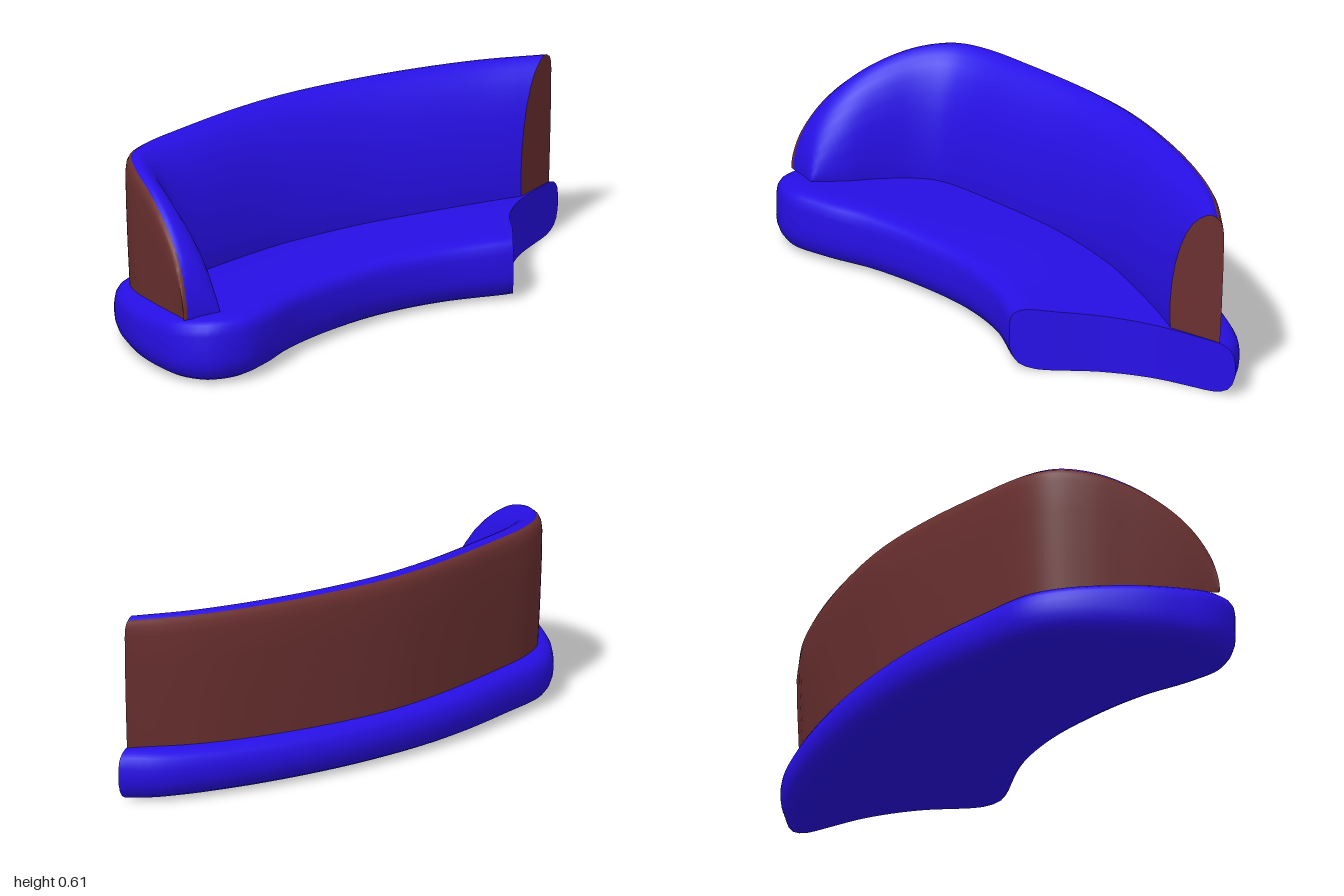
import * as THREE from 'three';
import { toCreasedNormals } from 'three/addons/utils/BufferGeometryUtils.js';

const blue = new THREE.MeshStandardMaterial({ color: 0x270fe6 });
blue.name = 'blueUpholstery';
const brown = new THREE.MeshStandardMaterial({ color: 0x6b3030 });
brown.name = 'brownPanel';

const V = (x, y, z) => new THREE.Vector3(x, y, z);
// Smooth curve on the floor plan through [x, z] pairs
const planCurve = (pts) => new THREE.CatmullRomCurve3(pts.map(([x, z]) => V(x, 0, z)), false, 'centripetal');
// Gently tilted plane of the seat top
const seatTop = (x, z) => 0.1864 + 0.0761 * x + 0.0146 * z;

// Triangles between neighbouring rows of points
function loft(rows) {
  const tris = [];
  for (let i = 0; i < rows.length - 1; i++) {
    for (let j = 0; j < rows[i].length - 1; j++) {
      const a = rows[i][j], b = rows[i + 1][j], c = rows[i + 1][j + 1], d = rows[i][j + 1];
      tris.push(a, b, d, b, c, d);
    }
  }
  return tris;
}

function makeMesh(name, tris, material, crease = 0.75) {
  const geometry = new THREE.BufferGeometry().setFromPoints(tris);
  const mesh = new THREE.Mesh(toCreasedNormals(geometry, crease), material);
  mesh.name = name;
  return mesh;
}

// Flat cap over a closed ring, facing up or down
function cap(ring, up) {
  const flat = ring.map((p) => new THREE.Vector2(p.x, p.z));
  return THREE.ShapeUtils.triangulateShape(flat, []).flatMap(([a, b, c]) => {
    const [p, q, r] = [ring[a], ring[b], ring[c]];
    const ny = q.clone().sub(p).cross(r.clone().sub(p)).y;
    return (ny > 0) === up ? [p, q, r] : [p, r, q];
  });
}

function makeSeat() {
  // Outside edge: rear tip, along the back, round the arm and along the front
  const side = planCurve([
    [0.01, -1], [-0.1, -0.89], [-0.23, -0.64], [-0.34, -0.31], [-0.395, -0.02], [-0.41, 0.2],
    [-0.395, 0.45], [-0.365, 0.67], [-0.28, 0.79], [-0.1, 0.915], [0.05, 0.975], [0.16, 0.995],
    [0.27, 0.955], [0.328, 0.84], [0.31, 0.69], [0.265, 0.53], [0.24, 0.32], [0.245, 0.08],
    [0.3, -0.14], [0.405, -0.35],
  ]);
  // Concave cut end
  const cut = planCurve([[0.405, -0.35], [0.31, -0.45], [0.2, -0.56], [0.11, -0.7], [0.055, -0.85], [0.01, -1]]);
  const N = 120, C = 16, cutLength = cut.getLength(), sideLength = side.getLength();

  // Outline shrunk inwards, while its cut end stays on the cut
  function ringAt(inset, height) {
    const ring = [];
    const s0 = (inset * 1.08) / cutLength;
    for (let i = 0; i <= C; i++) ring.push(cut.getPointAt(s0 + (1 - 2 * s0) * (i / C)));
    const tipDir = cut.getTangentAt(1).negate(), cornerDir = cut.getTangentAt(0);
    for (let i = 1; i < N; i++) {
      const t = i / N, p = side.getPointAt(t), tan = side.getTangentAt(t);
      const dir = V(tan.z, 0, -tan.x);
      const near = Math.min(t, 1 - t) * sideLength;
      dir.lerp(t < 0.5 ? tipDir : cornerDir, 1 - THREE.MathUtils.smoothstep(near, 0, 0.2));
      ring.push(p.addScaledVector(dir, inset));
    }
    ring.forEach((p) => { p.y = height(p); });
    return ring;
  }

  // Rounded edge: inset with drop below the top, then inset with height above the floor
  const upper = [[0.075, 0], [0.05, 0.002], [0.03, 0.008], [0.014, 0.019], [0.005, 0.034], [0.001, 0.055]];
  const lower = [[0, 0.09], [0.003, 0.065], [0.012, 0.04], [0.027, 0.021], [0.05, 0.009], [0.08, 0.002], [0.11, 0]];
  const rings = [
    ...upper.map(([d, drop]) => ringAt(d, (p) => seatTop(p.x, p.z) - drop)),
    ...lower.map(([d, y]) => ringAt(d, () => y)),
  ];
  const wall = loft(rings.map((r) => [...r, r[0]]));
  return makeMesh('seat', [...wall, ...cap(rings[0], true), ...cap(rings.at(-1), false)], blue);
}

function makeBackrest() {
  const group = new THREE.Group();
  group.name = 'backrest';
  // Matching outer and inner base lines, from the cut end to the tip of the arm
  const outer = planCurve([
    [0.025, -0.94], [-0.1, -0.755], [-0.205, -0.53], [-0.285, -0.29], [-0.335, -0.07], [-0.352, 0.15],
    [-0.345, 0.4], [-0.325, 0.61], [-0.285, 0.71], [-0.2, 0.785], [-0.08, 0.85], [0.06, 0.915], [0.19, 0.968],
  ]);
  const inner = planCurve([
    [0.075, -0.75], [0.015, -0.61], [-0.06, -0.41], [-0.12, -0.23], [-0.16, -0.03], [-0.178, 0.15],
    [-0.17, 0.4], [-0.155, 0.57], [-0.135, 0.64], [-0.085, 0.695], [0.01, 0.745], [0.12, 0.785], [0.222, 0.84],
  ]);
  // Section points: across from outer to inner, and up as a share of the height
  const panelSection = [[0, 0], [-0.04, 0.3], [-0.075, 0.65], [-0.085, 0.88], [-0.065, 0.945], [-0.02, 0.98], [0.03, 0.99]];
  const cushionSection = [
    [0.03, 0.99], [0.08, 1.005], [0.17, 1.01], [0.28, 0.99], [0.4, 0.955], [0.53, 0.9], [0.66, 0.81],
    [0.78, 0.69], [0.88, 0.54], [0.95, 0.37], [0.99, 0.18], [0.99, 0.08], [0.97, 0],
  ];
  const N = 90;
  function rows(section) {
    const out = [];
    for (let i = 0; i <= N; i++) {
      const t = Math.sin((i / N) * Math.PI / 2); // closer steps at the arm tip
      const a = outer.getPoint(t), b = inner.getPoint(t);
      // The arm falls away along a quarter ellipse
      const q = a.z > 0.55 ? THREE.MathUtils.clamp((a.x + 0.32) / 0.51, 0, 1) : 0;
      const rise = Math.sqrt(1 - q * q);
      out.push(section.map(([u, v]) => {
        const p = a.clone().lerp(b, u);
        const base = seatTop(p.x, p.z) - 0.004;
        p.y = base + (0.604 - base) * rise * v;
        return p;
      }));
    }
    return out;
  }
  const panel = rows(panelSection), cushion = rows(cushionSection);
  group.add(makeMesh('backPanel', loft(panel), brown));
  group.add(makeMesh('backCushion', loft(cushion), blue));

  // Flat panel closing the cut end
  const edge = [...panel[0], ...cushion[0].slice(1)];
  const centre = edge[0].clone().lerp(edge.at(-1), 0.4).setY(0.35);
  const fan = edge.flatMap((p, i) => [centre, p, edge[(i + 1) % edge.length]]);
  group.add(makeMesh('endPanel', fan, brown));
  return group;
}

export function createModel() {
  const sofa = new THREE.Group();
  sofa.name = 'curvedSofa';
  sofa.add(makeSeat(), makeBackrest());
  return sofa;
}
